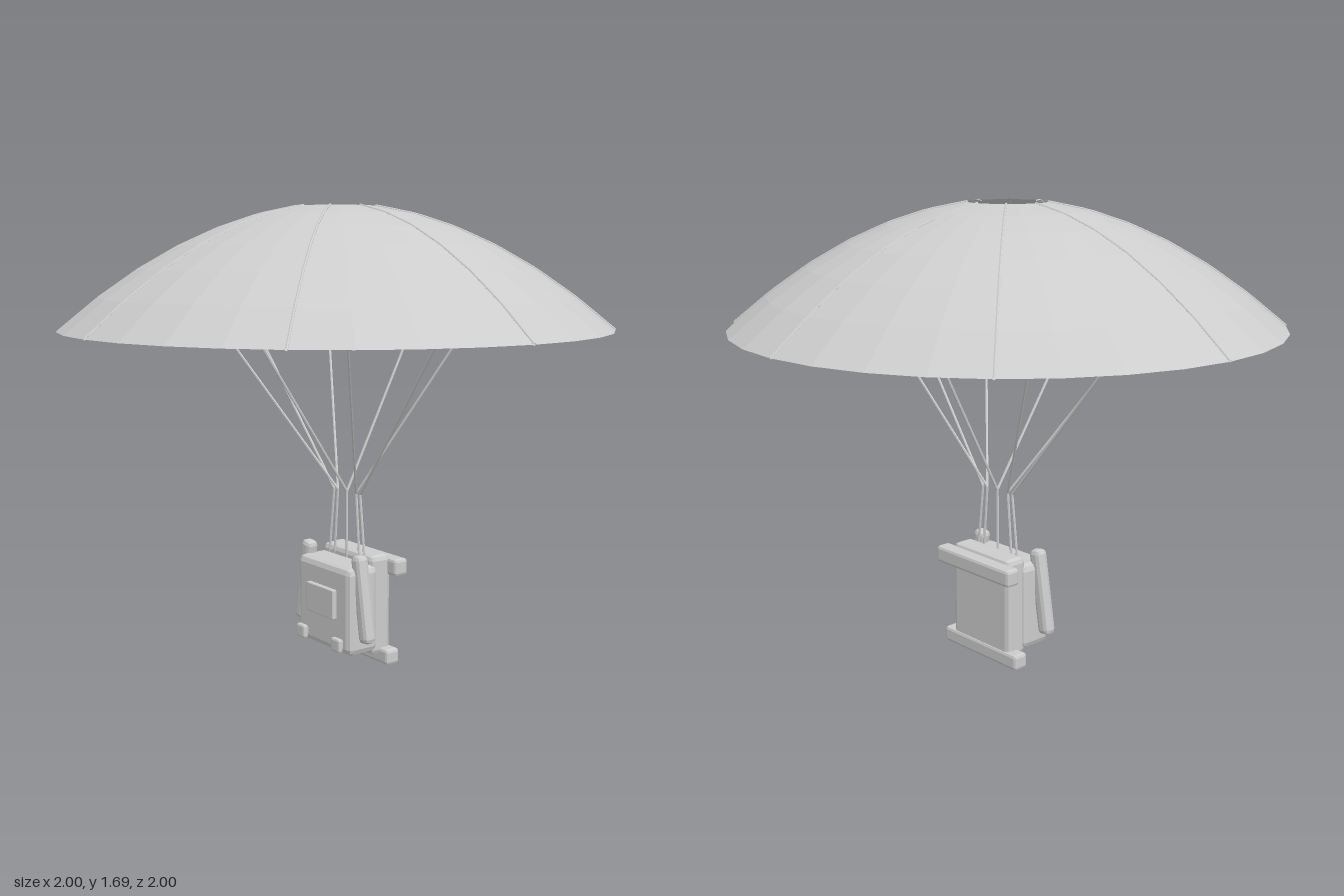
import * as THREE from 'three';
import { RoundedBoxGeometry } from 'three/addons/geometries/RoundedBoxGeometry.js';

export function createModel() {
  const model = new THREE.Group();
  model.name = 'parachute';

  const cloth = new THREE.MeshStandardMaterial({ color: 0xcccccc, flatShading: true, side: THREE.DoubleSide });
  cloth.name = 'light grey cloth';

  const add = (parent, name, geometry) => {
    const mesh = new THREE.Mesh(geometry, cloth);
    mesh.name = name;
    parent.add(mesh);
    return mesh;
  };

  // Canopy: open parabolic dome with a vent hole
  const rings = 6;
  const profile = [];
  for (let i = 0; i <= rings; i++) {
    const r = 0.997 - (i / rings) * 0.855;
    profile.push(new THREE.Vector2(r, 1.695 - 0.448 * r ** 1.95));
  }
  add(model, 'canopy', new THREE.LatheGeometry(profile, 32));

  // Eight seams over the dome and eight lines under it
  const seams = new THREE.Group();
  seams.name = 'seams';
  const lines = new THREE.Group();
  lines.name = 'suspensionLines';
  model.add(seams, lines);

  const cord = (name, a, b) =>
    add(lines, name, new THREE.TubeGeometry(new THREE.LineCurve3(a, b), 1, 0.005, 6));

  for (let i = 0; i < 8; i++) {
    const angle = (i * Math.PI) / 4;
    const c = Math.cos(angle), s = Math.sin(angle);

    const path = new THREE.CurvePath();
    const points = profile.map(p => new THREE.Vector3(p.x * c, p.y, p.x * s));
    for (let k = 0; k < rings; k++) path.add(new THREE.LineCurve3(points[k], points[k + 1]));
    add(seams, 'seam', new THREE.TubeGeometry(path, 24, 0.005, 6));

    const top = new THREE.Vector3(0.615 * c, 1.31, 0.4 * s);
    const knot = new THREE.Vector3(0.08 * c, 0.635, -0.052);
    const bottom = new THREE.Vector3(0.112 * c, 0.356, -0.052);
    cord('upperLine', top, knot);
    cord('riser', knot, bottom);
  }

  // Backpack, built from bevelled boxes given by size and centre
  const pack = new THREE.Group();
  pack.name = 'backpack';
  model.add(pack);
  const box = (name, [w, h, d], [x, y, z], radius) => {
    const mesh = add(pack, name, new RoundedBoxGeometry(w, h, d, 1, radius));
    mesh.position.set(x, y, z);
    return mesh;
  };

  box('mainBag', [0.33, 0.33, 0.135], [0, 0.216, -0.007], 0.025);
  box('backBag', [0.31, 0.38, 0.09], [0, 0.223, -0.096], 0.02);
  box('frontPatch', [0.166, 0.112, 0.022], [0, 0.235, 0.067], 0.004);
  box('upperBar', [0.4, 0.065, 0.06], [0, 0.366, -0.155], 0.012);
  box('lowerBar', [0.4, 0.06, 0.06], [0, 0.03, -0.117], 0.012);

  // Mirrored flaps and buckles
  for (const side of [1, -1]) {
    const flap = box('sideFlap', [0.056, 0.325, 0.05], [side * 0.179, 0.268, 0.009], 0.018);
    flap.rotation.z = side * 0.165;
    box('buckle', [0.052, 0.052, 0.022], [side * 0.11, 0.092, 0.078], 0.008);
    box('buckleStrap', [0.03, 0.03, 0.03], [side * 0.11, 0.092, 0.058], 0.004);
  }

  return model;
}
